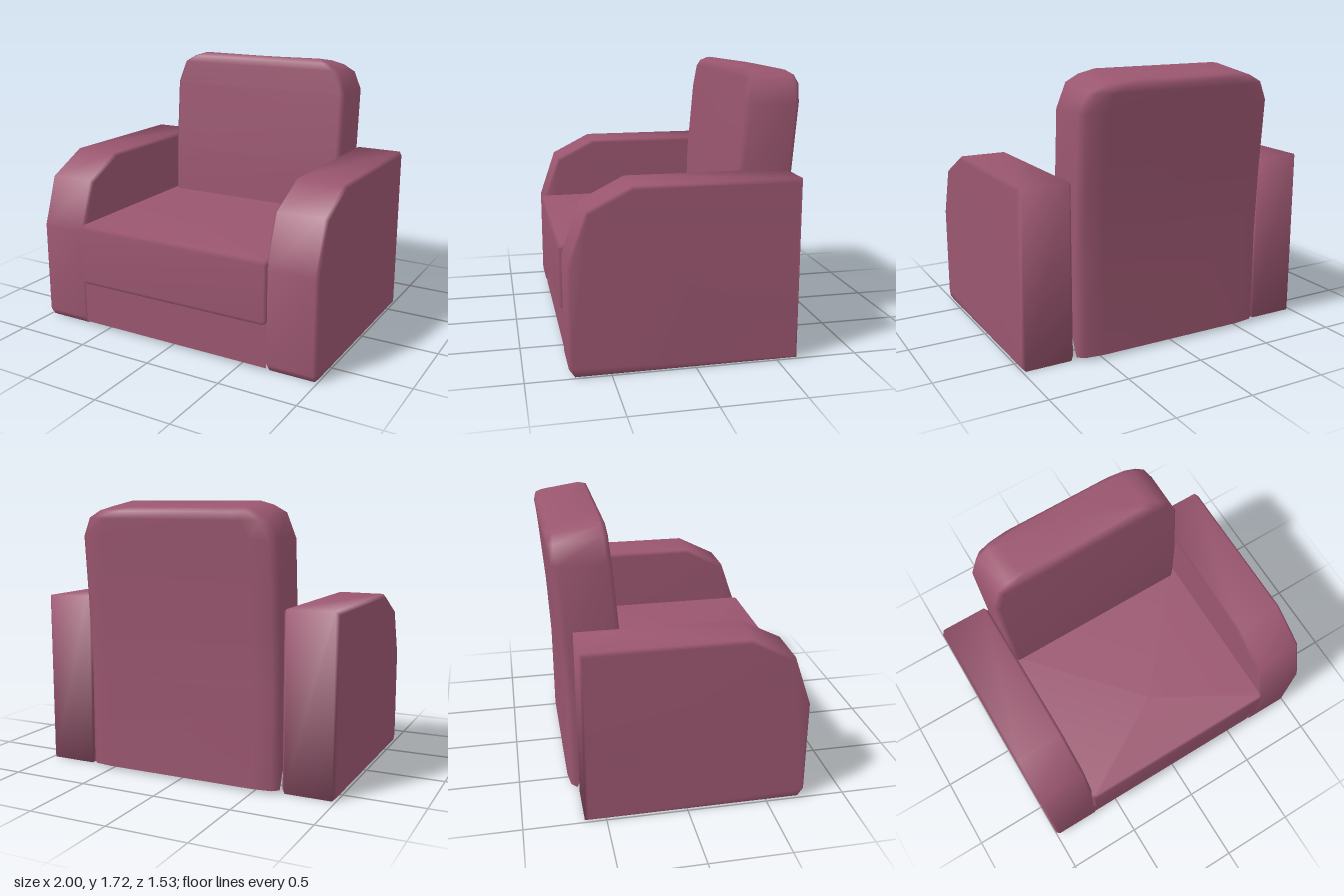
import * as THREE from 'three';
import { mergeVertices } from 'three/addons/utils/BufferGeometryUtils.js';

// Rounded-rectangle loop at one height, mirrored left to right.
// half: [inset from side, distance behind front] pairs are resolved by the caller.
function mirrorLoop(half) {
  const other = half.slice().reverse().map(([x, y, z]) => [-x, y, z]);
  return [...half, ...other];
}

// Skin stacked loops from bottom to top; closed above, open below.
function loft(loops) {
  const n = loops[0].length;
  const pos = loops.flat(2);
  const index = [];
  for (let r = 0; r < loops.length - 1; r++) {
    for (let i = 0; i < n; i++) {
      const j = (i + 1) % n;
      const a = r * n + i, b = r * n + j;
      index.push(a, b, b + n, a, b + n, a + n);
    }
  }
  const top = loops[loops.length - 1];
  const centre = [0, 1, 2].map((k) => top.reduce((s, p) => s + p[k], 0) / n);
  const c = pos.length / 3, start = (loops.length - 1) * n;
  pos.push(...centre);
  for (let i = 0; i < n; i++) index.push(c, start + i, start + ((i + 1) % n));

  const geo = new THREE.BufferGeometry();
  geo.setAttribute('position', new THREE.Float32BufferAttribute(pos, 3));
  geo.setIndex(index);
  geo.computeVertexNormals();
  return geo;
}

// Arm: side profile (z, y) extruded across x with a small soft bevel.
function armGeometry() {
  const profile = [
    [-0.63, 0], [0.71, 0], [0.745, 0.05], [0.745, 0.65],
    [0.635, 0.97], [0.37, 1.105], [-0.63, 1.105],
  ];
  const shape = new THREE.Shape(profile.map(([z, y]) => new THREE.Vector2(z, y)));
  let geo = new THREE.ExtrudeGeometry(shape, {
    depth: 0.295, bevelThickness: 0.02, bevelSize: 0.02, bevelOffset: -0.02, bevelSegments: 1,
  });
  geo.rotateY(-Math.PI / 2);
  geo.translate(0.98, 0, 0);
  geo.deleteAttribute('normal');
  geo.deleteAttribute('uv');
  geo = mergeVertices(geo, 1e-4);
  geo.computeVertexNormals();
  return geo;
}

// Backrest: rows of [height, half width, front z, rear z], leaning back.
function backrestGeometry() {
  const rows = [
    [0.02, 0.655, -0.335, -0.69], [0.62, 0.655, -0.335, -0.69],
    [1.03, 0.655, -0.345, -0.71], [1.5, 0.655, -0.385, -0.748],
    [1.65, 0.6, -0.397, -0.762], [1.695, 0.52, -0.402, -0.762],
    [1.72, 0.44, -0.43, -0.735],
  ];
  return loft(rows.map(([y, w, zf, zr]) => {
    const half = [
      [w - 0.03, zf], [w, zf - 0.03], [w, zr + 0.05], [w - 0.04, zr + 0.015], [w - 0.16, zr],
    ];
    return mirrorLoop(half.map(([x, z], i) => {
      const slope = y > 1.6 ? 0.04 * (zf - z) / (zf - zr) : 0;
      // the front skin stops inside the seat, only the rear panel reaches down
      return [x, i < 2 ? Math.max(y, 0.6) : y - slope, z];
    }));
  }));
}

// Seat cushion: bevelled hollow shell, open underneath.
function seatGeometry() {
  const rows = [[0.3, 0.015], [0.325, 0], [0.675, 0], [0.7, 0.015]];
  return loft(rows.map(([y, inset]) => {
    const w = 0.68 - inset, zf = 0.765 - inset;
    return mirrorLoop([[w - 0.015, y, zf], [w, y, zf - 0.02], [w, y, -0.4]]);
  }));
}

export function createModel() {
  const group = new THREE.Group();
  group.name = 'armchair';
  const upholstery = new THREE.MeshStandardMaterial({ color: 0x9a566f });
  upholstery.name = 'rose upholstery';
  upholstery.side = THREE.DoubleSide;

  const add = (name, geo) => {
    const mesh = new THREE.Mesh(geo, upholstery);
    mesh.name = name;
    group.add(mesh);
    return mesh;
  };

  // Arms
  const arm = armGeometry();
  add('leftArm', arm);
  add('rightArm', arm.clone()).position.x = -1.6625;
  group.children[0].position.x = 0;

  // Back, seat and the panel below the seat
  add('backrest', backrestGeometry());
  add('seatCushion', seatGeometry());
  add('frontPanel', new THREE.PlaneGeometry(1.35, 0.3)).position.set(0, 0.17, 0.735);

  return group;
}
